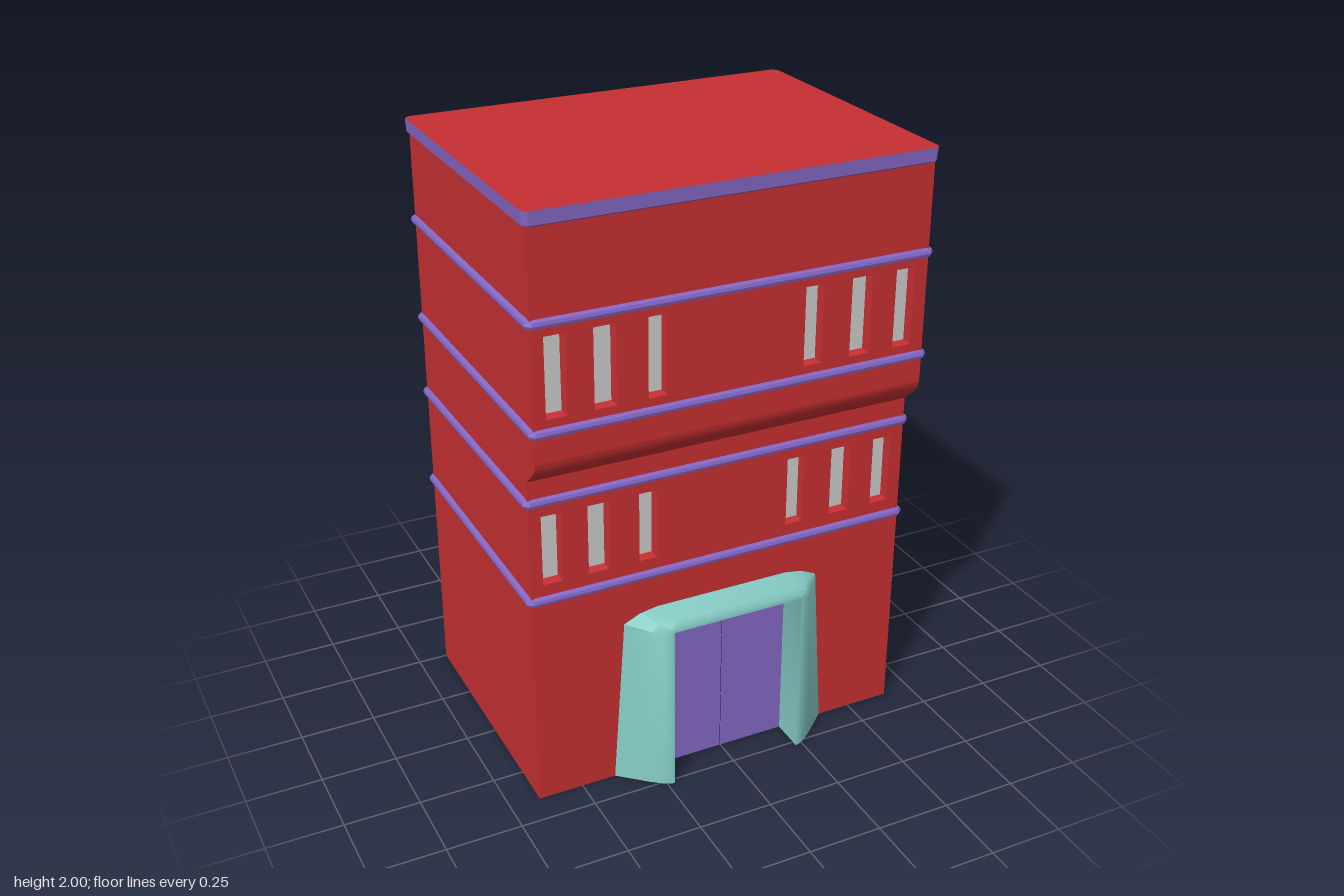
import * as THREE from 'three';
import { toCreasedNormals } from 'three/addons/utils/BufferGeometryUtils.js';

const paint = (color) => new THREE.MeshStandardMaterial({ color, side: THREE.DoubleSide });
const red = paint(0xc62f32), purple = paint(0x8467c5), teal = paint(0x86ccc5), grey = paint(0xcccccc);

const W = 0.65, BACK = -0.5, LOW = 0.4, HIGH = 0.472; // half width, back, lower and upper front

function add(parent, name, geometry, material, x = 0, y = 0, z = 0) {
  const mesh = new THREE.Mesh(geometry, material);
  mesh.name = name;
  mesh.position.set(x, y, z);
  parent.add(mesh);
  return mesh;
}

// Skin a surface through rings that have the same number of points
function loft(rings, closed, crease = 0.5) {
  const pos = [];
  for (let i = 0; i < rings.length - 1; i++) {
    const n = rings[i].length;
    for (let j = 0; j < (closed ? n : n - 1); j++) {
      const k = (j + 1) % n;
      const a = rings[i][j], b = rings[i][k], c = rings[i + 1][k], d = rings[i + 1][j];
      pos.push(...a, ...b, ...c, ...a, ...c, ...d);
    }
  }
  const geo = new THREE.BufferGeometry();
  geo.setAttribute('position', new THREE.Float32BufferAttribute(pos, 3));
  geo.computeVertexNormals();
  return toCreasedNormals(geo, crease);
}

const polygon = (points) => new THREE.Shape(points.map(([x, y]) => new THREE.Vector2(x, y)));
const rect = (x0, x1, y0, y1) => [[x0, y0], [x1, y0], [x1, y1], [x0, y1]];

// Rectangle with cut corners in plan, grown by o beyond the walls
function planRing(o, y, front, c = 0.015) {
  const x = W + o, f = front + o, b = BACK - o;
  return [[-x + c, f], [x - c, f], [x, f - c], [x, b + c], [x - c, b], [-x + c, b], [-x, b + c], [-x, f - c]]
    .map(([px, pz]) => [px, y, pz]);
}

const windowSpans = [[-0.61, -0.545], [-0.46, -0.39], [-0.29, -0.23], [0.225, 0.287], [0.385, 0.455], [0.54, 0.605]];

// Front wall with a row of recessed windows
function frontWall(parent, name, outline, z, y0, y1) {
  const shape = polygon(outline), depth = 0.03;
  for (const [x0, x1] of windowSpans) {
    shape.holes.push(polygon(rect(x0, x1, y0, y1)));
    const x = (x0 + x1) / 2, w = x1 - x0, y = (y0 + y1) / 2, h = y1 - y0;
    const ring = (inset, pz) => rect(-w / 2 + inset, w / 2 - inset, -h / 2 + inset, h / 2 - inset)
      .map(([px, py]) => [px, py, pz]);
    add(parent, 'windowReveal', loft([ring(0, 0), ring(0.005, -depth)], true), red, x, y, z);
    add(parent, 'windowPane', new THREE.PlaneGeometry(w - 0.01, h - 0.01), grey, x, y, z - depth);
  }
  add(parent, name, new THREE.ShapeGeometry(shape), red, 0, 0, z);
}

export function createModel() {
  const group = new THREE.Group();

  // Walls: an open-bottomed shell whose upper storeys overhang the front
  const overhang = [[LOW, 1.15], [0.455, 1.2], [0.469, 1.22], [HIGH, 1.24]];
  const side = polygon([[BACK, 0], [LOW, 0], ...overhang, [HIGH, 1.99], [BACK, 1.99]]);
  for (const s of [-1, 1]) {
    const geo = new THREE.ShapeGeometry(side);
    geo.rotateY(-Math.PI / 2);
    if (s > 0) geo.scale(-1, 1, 1);
    const index = geo.getIndex().array;
    // Shape normals face -x here; reverse the corners on the +x wall
    if (s > 0) {
      for (let i = 0; i < index.length; i += 3) [index[i], index[i + 1]] = [index[i + 1], index[i]];
      geo.computeVertexNormals();
    }
    add(group, s > 0 ? 'leftWall' : 'rightWall', geo, red, s * W);
  }
  const back = new THREE.PlaneGeometry(2 * W, 1.99);
  back.rotateY(Math.PI);
  add(group, 'backWall', back, red, 0, 0.995, BACK);
  add(group, 'overhang', loft(overhang.map(([z, y]) => [[-W, y, z], [W, y, z]]), false), red);

  // Lower front wall is cut away behind the door surround
  const archHalf = [[0.385, 0], [0.345, 0.575], [0.29, 0.6], [0.23, 0.61]];
  const mirrored = (half) => [...half, ...half.map(([x, y]) => [-x, y]).reverse()];
  const lowerOutline = [[W, 0], [W, 1.15], [-W, 1.15], [-W, 0], ...mirrored(archHalf).reverse()];
  frontWall(group, 'lowerFrontWall', lowerOutline, LOW, 0.79, 1.025);
  frontWall(group, 'upperFrontWall', rect(-W, W, 1.24, 1.99), HIGH, 1.375, 1.63);

  // Roof and its edge band
  const roof = new THREE.ShapeGeometry(polygon(planRing(0.012, 0, HIGH).map(([x, , z]) => [x, -z])));
  roof.rotateX(-Math.PI / 2);
  add(group, 'roof', roof, red, 0, 2, 0);
  add(group, 'roofBand', loft([[-0.002, 1.95], [0.01, 1.958], [0.012, 2]]
    .map(([o, y]) => planRing(o, y, HIGH)), true), purple);

  // String courses: y centre, front depth, drop towards the back
  for (const [y, front, drop] of [[1.67, HIGH, 0], [1.333, HIGH, 0], [1.07, LOW, 0.01], [0.735, LOW, 0.002]]) {
    const rings = [[-0.002, -0.016], [0.012, -0.01], [0.015, 0], [0.012, 0.01], [-0.002, 0.016]]
      .map(([o, dy]) => planRing(o, y + dy, front).map(([px, py, pz]) => [px, py + drop * pz / 0.9, pz]));
    add(group, 'stringCourse', loft(rings, true), purple);
  }

  // Hollow, tapering door surround
  const opening = [[0.226, 0], [0.226, 0.575], [0.225, 0.578], [0.22, 0.578]];
  const surround = [
    [LOW, archHalf],
    [0.48, [[0.295, 0], [0.285, 0.575], [0.265, 0.6], [0.22, 0.611]]],
    [0.505, [[0.262, 0], [0.26, 0.575], [0.25, 0.597], [0.215, 0.61]]],
    [0.518, [[0.235, 0], [0.235, 0.575], [0.232, 0.588], [0.21, 0.592]]],
    [0.518, opening],
    [LOW - 0.002, opening],
  ].map(([z, half]) => mirrored(half).map(([x, y]) => [x, y, z]));
  add(group, 'doorSurround', loft(surround, false, 0.7), teal);

  // Pair of door leaves
  for (const s of [-1, 1]) {
    add(group, s > 0 ? 'leftDoor' : 'rightDoor', new THREE.BoxGeometry(0.223, 0.578, 0.008), purple, s * 0.1145, 0.289, LOW);
  }
  return group;
}
